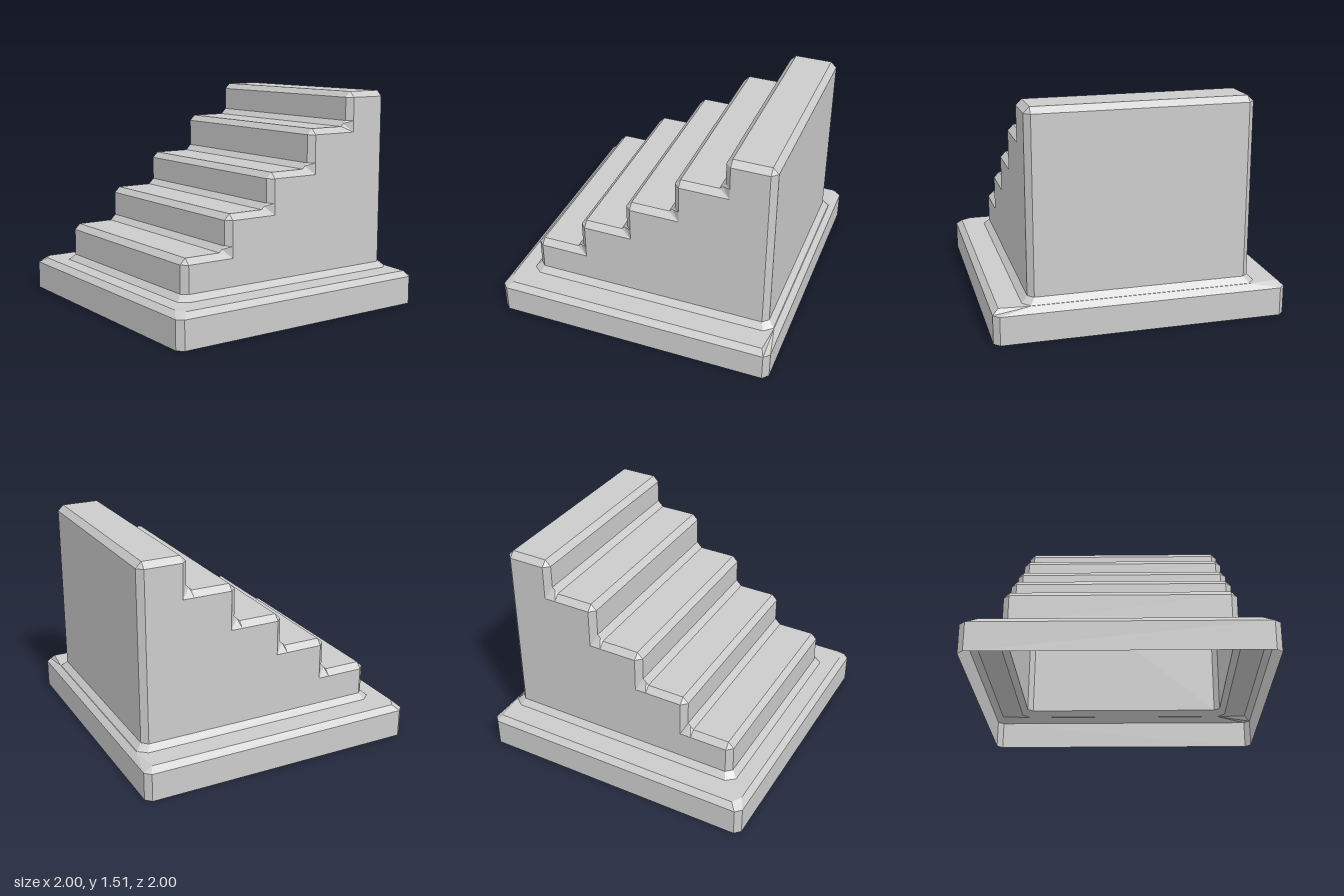
import * as THREE from 'three';

const material = new THREE.MeshStandardMaterial({
  color: 0xcccccc, flatShading: true, side: THREE.DoubleSide,
});

// Faceted mesh from a list of triangles, skipping collapsed ones
function facetMesh(name, triangles) {
  const points = triangles
    .filter(([a, b, c]) => new THREE.Triangle(a, b, c).getArea() > 1e-7)
    .flat();
  const geometry = new THREE.BufferGeometry().setFromPoints(points);
  geometry.computeVertexNormals();
  const mesh = new THREE.Mesh(geometry, material);
  mesh.name = name;
  return mesh;
}

// Horizontal eight-cornered ring; left and right corner cuts are [along x, along z]
function ring(y, x0, x1, z, left, right = left) {
  const back = [
    [x1, right[1] - z], [x1 - right[0], -z], [x0 + left[0], -z], [x0, left[1] - z],
  ];
  const front = back.map(([x, zz]) => [x, -zz]).reverse();
  return [...back, ...front].map(([x, zz]) => new THREE.Vector3(x, y, zz));
}

function createPlinth() {
  const c = 0.04;
  const rings = [
    ring(0, -1, 1, 1, [c, c]),
    ring(0.197, -1, 1, 1, [c, c]),
    ring(0.235, -0.96, 0.96, 0.96, [c, 0.07], [0.02, 0.21]), // top edge bevel
    ring(0.235, -0.85, 0.955, 0.8, [0.06, 0.05]), // ledge
    ring(0.275, -0.81, 0.915, 0.76, [c, c]), // slope up to the stair walls
  ];
  const triangles = [];
  for (let k = 0; k < rings.length - 1; k++) {
    for (let j = 0; j < 8; j++) {
      const n = (j + 1) % 8;
      const [a, b, d, e] = [rings[k][j], rings[k][n], rings[k + 1][n], rings[k + 1][j]];
      triangles.push([a, b, d], [a, d, e]);
    }
  }
  return facetMesh('plinth', triangles);
}

function createStairs() {
  const c = 0.04, floor = 0.275, end = 0.915;
  const risers = [-0.81, -0.465, -0.12, 0.23, 0.575];
  const treads = [0.505, 0.755, 1.0, 1.273, 1.515];

  // Matching profiles: bevelled outer line, and the inset line of the side faces
  const outer = [[risers[0], floor]];
  const inner = [[risers[0] + c, floor]];
  const corners = [inner[0]];
  const convex = (a, b, p) => {
    outer.push(a, b);
    inner.push(p, p);
    corners.push(p);
  };
  risers.forEach((x, i) => {
    const y = treads[i];
    convex([x, y - c], [x + c, y], [x + c, y - c]);
    if (i === risers.length - 1) return;
    // Sloped fillet where the tread meets the next riser
    const nx = risers[i + 1], p = [nx + c, y - c];
    outer.push([nx - c, y], [nx - c / 2, y + c / 2], [nx, y + c]);
    inner.push([nx - c, y - c], p, [nx + c, y + c]);
    corners.push(p);
  });
  const top = treads[treads.length - 1];
  convex([end - c, top], [end, top - c], [end - c, top - c]);
  outer.push([end, floor]);
  inner.push([end - c, floor]);
  corners.push([end - c, floor]);

  // Loft across the width
  const at = (line, z) => line.map(([x, y]) => new THREE.Vector3(x, y, z));
  const sections = [at(inner, -0.76), at(outer, -0.72), at(outer, 0.72), at(inner, 0.76)];
  const triangles = [];
  for (let k = 0; k < 3; k++) {
    for (let i = 0; i < outer.length - 1; i++) {
      const [a, b] = [sections[k][i], sections[k + 1][i]];
      const [d, e] = [sections[k + 1][i + 1], sections[k][i + 1]];
      triangles.push([a, b, d], [a, d, e]);
    }
  }

  // Stepped side faces
  const outline = corners.map(([x, y]) => new THREE.Vector2(x, y)).reverse();
  const faces = THREE.ShapeUtils.triangulateShape(outline, []);
  for (const side of [1, -1]) {
    for (const face of faces) {
      const tri = face.map((i) => new THREE.Vector3(outline[i].x, outline[i].y, 0.76 * side));
      triangles.push(side > 0 ? tri : tri.reverse());
    }
  }
  return facetMesh('stairs', triangles);
}

export function createModel() {
  const model = new THREE.Group();
  model.name = 'staircase';
  model.add(createPlinth(), createStairs());
  return model;
}
